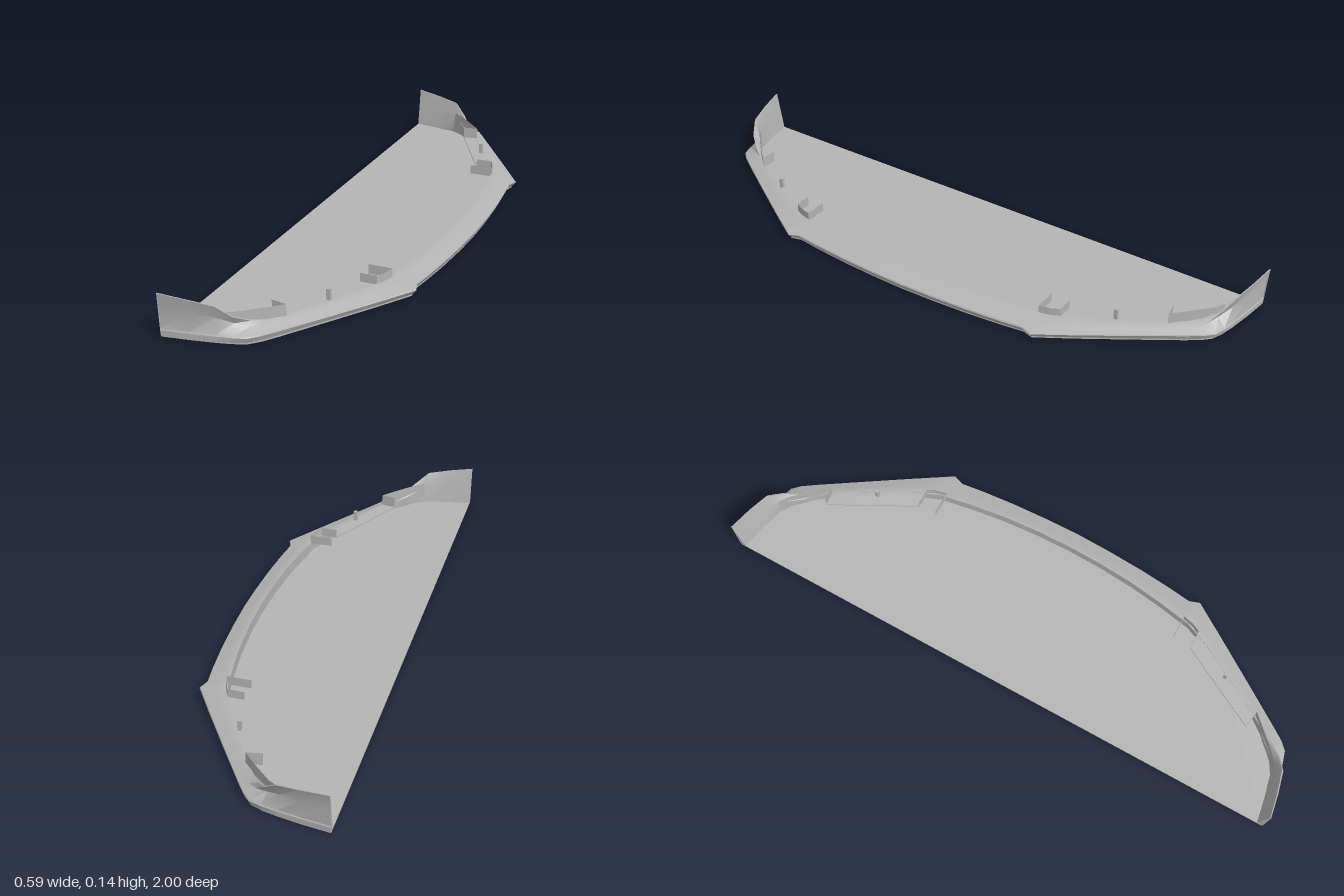
import * as THREE from 'three';
import { toCreasedNormals } from 'three/addons/utils/BufferGeometryUtils.js';

const grey = new THREE.MeshStandardMaterial({ color: 0xb4b4b4, side: THREE.DoubleSide });
grey.name = 'grey';

// Half of the lip, from the centre outwards. Each station holds
// outer x, outer z, inner x, inner z, crease height, ridge height, ridge position (0 inner, 1 outer)
const stations = [
  [0.291, 0, 0.228, 0, 0.026, 0.046, 0],
  [0.288, 0.12, 0.225, 0.12, 0.026, 0.046, 0],
  [0.281, 0.25, 0.215, 0.25, 0.026, 0.046, 0],
  [0.271, 0.36, 0.2, 0.36, 0.026, 0.045, 0],
  [0.261, 0.44, 0.186, 0.44, 0.026, 0.044, 0],
  [0.274, 0.475, 0.18, 0.475, 0.025, 0.043, 0],
  [0.2, 0.59, 0.145, 0.56, 0.024, 0.042, 0],
  [0.1, 0.742, 0.075, 0.685, 0.024, 0.041, 0],
  [0.01, 0.877, 0.005, 0.805, 0.025, 0.041, 0],
  [-0.02, 0.92, -0.03, 0.85, 0.026, 0.044, 0.05],
  [-0.045, 0.945, -0.06, 0.88, 0.026, 0.055, 0.2],
  [-0.085, 0.957, -0.095, 0.915, 0.026, 0.078, 0.5],
  [-0.133, 0.966, -0.135, 0.938, 0.026, 0.115, 0.9],
  [-0.21, 0.979, -0.21, 0.955, 0.026, 0.128, 1.1],
  [-0.295, 0.99, -0.295, 0.97, 0.026, 0.14, 1.3],
];
const lerp = THREE.MathUtils.lerp;

// Closed cross-section of the lip at one station
function section([ox, oz, ix, iz, crease, ridge, lean], side) {
  const at = (t, y) => [lerp(ix, ox, t), y, side * lerp(iz, oz, t)];
  const wing = THREE.MathUtils.smoothstep(lean, 0, 0.9);
  const bottom = lerp(0.86, 0.97, wing);
  return [
    at(bottom, 0.006),
    at(1, crease * 0.85),
    at(lerp(0.97, 0.9, wing), crease),
    at(lerp(0.5, lean - 0.35, wing), lerp((crease + ridge) / 2, lerp(crease, ridge, 0.55), wing)),
    at(lean + 0.08, ridge),
    at(lean - 0.08 * wing, ridge),
    at(lerp(0, lean - 0.6, wing), lerp(crease, ridge, 0.5)),
    at(0, 0.004),
  ];
}

// Skin over a row of closed cross-sections
function loft(rows) {
  const n = rows[0].length, index = [];
  for (let i = 0; i < rows.length - 1; i++) {
    for (let j = 0; j < n; j++) {
      const a = i * n + j, b = i * n + (j + 1) % n;
      index.push(a, b, a + n, b, b + n, a + n);
    }
  }
  const last = (rows.length - 1) * n;
  for (let j = 1; j < n - 1; j++) index.push(0, j + 1, j, last, last + j, last + j + 1);
  const g = new THREE.BufferGeometry();
  g.setAttribute('position', new THREE.Float32BufferAttribute(rows.flat(2), 3));
  g.setIndex(index);
  return toCreasedNormals(g, 0.45);
}

// Flat plate cut from x, z points, lying between heights y and y + h
function slab(points, y, h) {
  const shape = new THREE.Shape(points.map(([x, z]) => new THREE.Vector2(x, -z)));
  const g = new THREE.ExtrudeGeometry(shape, { depth: h, bevelEnabled: false });
  return g.rotateX(-Math.PI / 2).translate(0, y, 0);
}

// Thin upright wall along x, z points with a top height at each end
function wall(points, y, topStart, topEnd) {
  const pos = [], index = [];
  points.forEach(([x, z], i) => {
    pos.push(x, y, z, x, lerp(topStart, topEnd, i / (points.length - 1)), z);
    if (i) index.push(2 * i - 2, 2 * i, 2 * i - 1, 2 * i, 2 * i + 1, 2 * i - 1);
  });
  const g = new THREE.BufferGeometry();
  g.setAttribute('position', new THREE.Float32BufferAttribute(pos, 3));
  g.setIndex(index);
  return toCreasedNormals(g, 0.5);
}

export function createModel() {
  const group = new THREE.Group();
  const add = (name, geometry) => {
    const mesh = new THREE.Mesh(geometry, grey);
    mesh.name = name;
    group.add(mesh);
  };

  // Floor, slightly inside the lip
  const edge = stations.map(([ox, oz, ix, iz]) => [lerp(ix, ox, 0.84), lerp(iz, oz, 0.84)]);
  const outline = [...edge.slice(1).reverse().map(([x, z]) => [x, -z]), ...edge];
  add('floorPlate', slab(outline, 0, 0.006));

  // Front lip running into the upturned end fins
  add('lipAndEndFins', loft([
    ...stations.slice(1).reverse().map((s) => section(s, -1)),
    ...stations.map((s) => section(s, 1)),
  ]));

  for (const side of [1, -1]) {
    const label = side > 0 ? 'left' : 'right';
    const m = (points) => points.map(([x, z]) => [x, z * side]);

    // Mounting ledge behind the lip
    add(label + 'Ledge', slab(m([
      [-0.04, 0.8], [0.11, 0.52], [0.163, 0.52], [0.145, 0.56], [0.075, 0.685], [0.005, 0.805],
    ]), 0.036, 0.004));

    // Curved tab beside the fin, with its short return
    add(label + 'FinTab', wall(m([
      [-0.125, 0.932], [-0.095, 0.914], [-0.06, 0.88], [-0.03, 0.85], [0.01, 0.808],
    ]), 0.03, 0.084, 0.078));
    add(label + 'FinTabReturn', wall(m([[0.01, 0.808], [-0.04, 0.8]]), 0.038, 0.078, 0.079));

    // Hooked bracket
    add(label + 'Bracket', wall(m([
      [0.11, 0.52], [0.165, 0.52], [0.178, 0.495], [0.188, 0.455], [0.11, 0.455],
    ]), 0.038, 0.069, 0.069));

    // Locating pin
    add(label + 'Pin', new THREE.BoxGeometry(0.012, 0.037, 0.012)
      .translate(0.076, 0.057, 0.665 * side));
  }
  return group;
}
